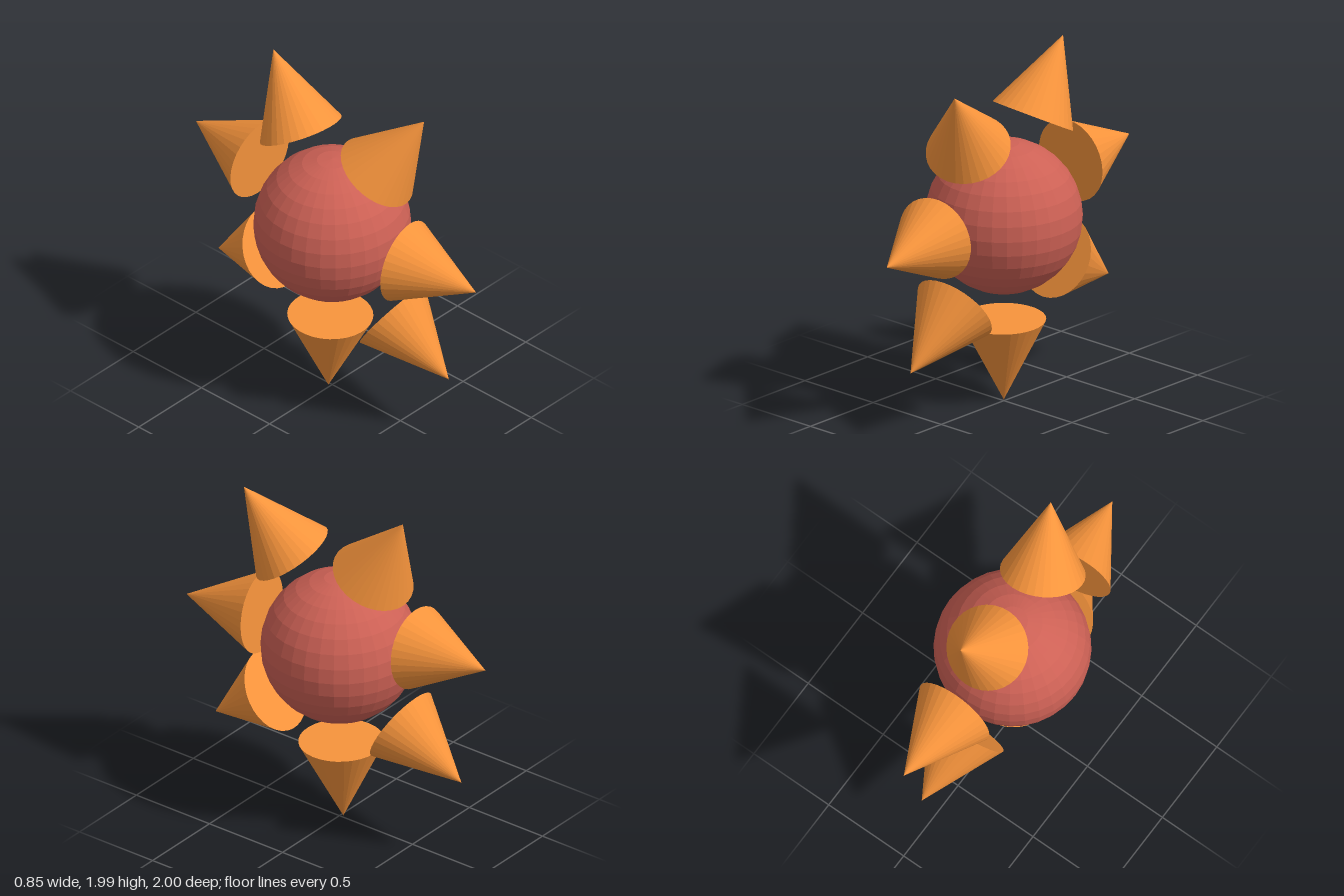
import * as THREE from 'three';

const RADIUS = 0.233;
const HEIGHT = 0.468;

// Each ray: [tip position, centre of its round base]
const RAYS = [
  [[0.14, 1.93, 0.545], [0.02, 1.54, 0.305]],
  [[0.02, 1.995, -0.45], [0, 1.58, -0.23]],
  [[0, 1.27, -1], [0, 1.245, -0.53]],
  [[0, 0.51, -0.835], [0, 0.725, -0.42]],
  [[-0.015, 0.005, -0.015], [-0.01, 0.475, -0.005]],
  [[0.055, 0.395, 0.805], [0.025, 0.655, 0.42]],
  [[0.06, 1.06, 1], [-0.01, 1.085, 0.53]],
];

export function createModel() {
  const model = new THREE.Group();
  model.name = 'spikedBall';
  const red = new THREE.MeshStandardMaterial({ color: 0xcd6155, flatShading: true });
  const orange = new THREE.MeshStandardMaterial({ color: 0xf7943c, flatShading: true });

  // Central ball
  const ball = new THREE.Mesh(new THREE.SphereGeometry(0.427, 32, 16), red);
  ball.name = 'ball';
  ball.position.y = 1.072;
  model.add(ball);

  // Ring of cones pointing outwards, each slightly tilted
  const coneGeometry = new THREE.ConeGeometry(RADIUS, HEIGHT, 32);
  const up = new THREE.Vector3(0, 1, 0);
  RAYS.forEach(([tip, base], i) => {
    const apex = new THREE.Vector3(...tip);
    const dir = apex.clone().sub(new THREE.Vector3(...base)).normalize();
    const cone = new THREE.Mesh(coneGeometry, orange);
    cone.name = `cone${i + 1}`;
    cone.quaternion.setFromUnitVectors(up, dir);
    cone.position.copy(apex).addScaledVector(dir, -HEIGHT / 2);
    model.add(cone);
  });

  return model;
}
